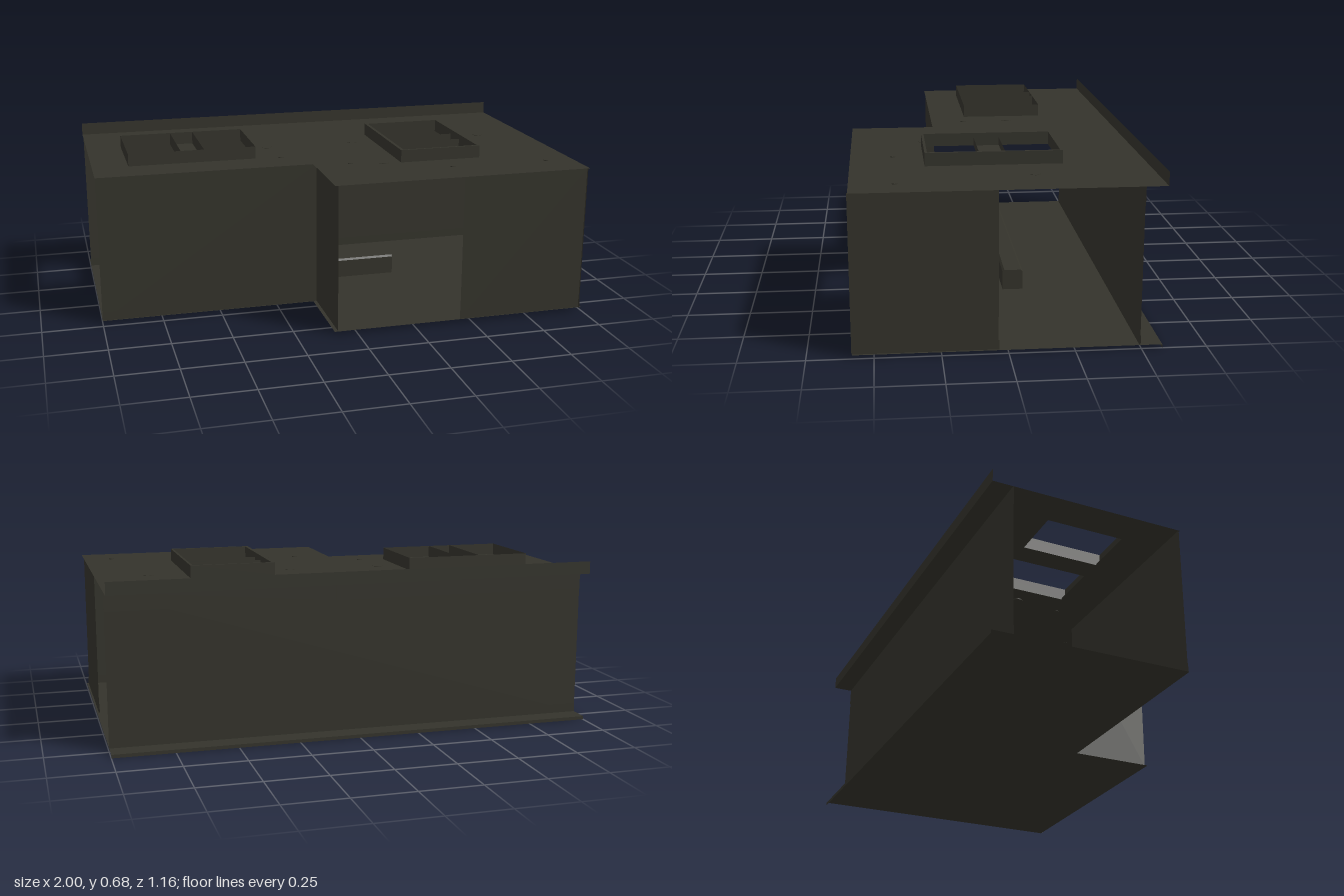
import * as THREE from 'three';

export function createModel() {
  const model = new THREE.Group();
  const steel = new THREE.MeshStandardMaterial({ color: 0x34332b, side: THREE.DoubleSide });
  steel.name = 'dark olive steel';
  const FLOOR = 0.014, ROOF = 0.63, TOP = 0.683, BACK = -0.58;

  const add = (name, geometry, x = 0, y = 0, z = 0) => {
    const mesh = new THREE.Mesh(geometry, steel);
    mesh.name = name;
    mesh.position.set(x, y, z);
    model.add(mesh);
  };
  // Upright sheet facing front or back
  const sheetX = (name, x0, x1, y0, y1, z) =>
    add(name, new THREE.PlaneGeometry(x1 - x0, y1 - y0), (x0 + x1) / 2, (y0 + y1) / 2, z);
  // Upright sheet facing sideways
  const sheetZ = (name, z0, z1, y0, y1, x) =>
    add(name, new THREE.PlaneGeometry(z1 - z0, y1 - y0).rotateY(Math.PI / 2), x, (y0 + y1) / 2, (z0 + z1) / 2);
  // Level sheet
  const sheetY = (name, x0, x1, z0, z1, y) =>
    add(name, new THREE.PlaneGeometry(x1 - x0, z1 - z0).rotateX(-Math.PI / 2), (x0 + x1) / 2, y, (z0 + z1) / 2);

  // L-shaped plate with rectangular holes [x0, x1, z0, z1]
  const plate = (name, y, holes) => {
    const outline = [[-1, 0.225], [-0.095, 0.225], [-0.095, 0.58], [1, 0.58], [1, BACK], [-1, BACK]];
    const shape = new THREE.Shape(outline.map(([x, z]) => new THREE.Vector2(x, -z)));
    for (const [x0, x1, z0, z1] of holes) {
      const corners = [[x0, z0], [x1, z0], [x1, z1], [x0, z1]];
      shape.holes.push(new THREE.Path(corners.map(([x, z]) => new THREE.Vector2(x, -z))));
    }
    add(name, new THREE.ShapeGeometry(shape).rotateX(-Math.PI / 2), 0, y, 0);
  };
  plate('floor', FLOOR, []);
  plate('roof', ROOF, [
    [-0.85, -0.63, -0.28, 0.05], [-0.53, -0.31, -0.28, 0.05],
    [0.285, 0.615, -0.24, -0.033], [0.285, 0.615, 0.072, 0.28],
  ]);

  // Folded lips along the back edge
  sheetX('roofBackLip', -1, 1, ROOF, TOP, BACK);
  sheetX('floorBackLip', -1, 1, 0, FLOOR, BACK);

  // Walls, with both ends left partly open
  sheetX('backWall', -1, 1, FLOOR, ROOF, -0.495);
  sheetX('leftFrontWall', -1, -0.08, FLOOR, ROOF, 0.219);
  sheetZ('notchWall', 0.219, 0.575, FLOOR, ROOF, -0.08);
  sheetX('frontWall', 0.45, 0.99, FLOOR, ROOF, 0.575);
  sheetZ('sideWall', 0.038, 0.583, FLOOR, ROOF, 0.99);

  // Rails along both faces of the walls
  for (const d of [-0.002, 0.002]) {
    sheetX('backBottomRail', -1, 1, FLOOR, 0.05, -0.495 + d);
    sheetX('backTopRailLeft', 0.081, 1, 0.555, ROOF, -0.495 + d);
    sheetX('backTopRailRight', -1, 0.077, 0.555, ROOF, -0.495 + d);
    sheetX('frontBottomRail', 0.45, 0.99, FLOOR, 0.05, 0.575 + d);
    sheetX('notchBottomRail', -1, -0.08, FLOOR, 0.05, 0.219 + d);
    sheetZ('sideBottomRail', 0.035, 0.583, FLOOR, 0.05, 0.99 + d);
  }

  // Raised hatch frames
  const frame = (name, x0, x1, z0, z1) => {
    for (const z of [z0, z1]) sheetX(name, x0, x1, ROOF, TOP, z);
    for (const x of [x0, x1]) sheetZ(name, z0, z1, ROOF, TOP, x);
  };
  frame('doubleHatchFrame', -0.85, -0.31, -0.28, 0.068);
  for (const x of [-0.63, -0.53]) sheetZ('hatchDivider', -0.28, 0.068, ROOF, TOP, x);
  for (const x of [-0.85, -0.53]) sheetY('hatchLedge', x, x + 0.22, 0.05, 0.068, ROOF + 0.004);
  frame('largeHatchFrame', 0.272, 0.625, -0.25, 0.29);
  frame('largeHatchInnerFrame', 0.285, 0.615, -0.24, 0.28);

  // Rim and cross bar of the large hatch
  for (const [z0, z1] of [[-0.25, -0.24], [0.28, 0.29]]) sheetY('largeHatchRim', 0.272, 0.625, z0, z1, TOP);
  for (const [x0, x1] of [[0.272, 0.285], [0.615, 0.625]]) sheetY('largeHatchRim', x0, x1, -0.24, 0.28, TOP);
  for (const z of [-0.033, 0.072]) sheetX('largeHatchBarSide', 0.285, 0.615, ROOF, TOP - 0.02, z);

  // Low floor duct with chamfered top
  const section = [[-0.043, 0], [0.043, 0], [0.043, 0.078], [0.035, 0.086], [-0.035, 0.086], [-0.043, 0.078]];
  const ductShape = new THREE.Shape(section.map(([x, y]) => new THREE.Vector2(x, y)));
  const duct = new THREE.ExtrudeGeometry(ductShape, { depth: 0.93, bevelEnabled: false });
  add('floorDuct', duct.rotateY(Math.PI / 2), -0.58, FLOOR, -0.088);

  // Round ceiling fittings and small roof studs
  for (const [x, z] of [[-0.22, -0.12], [0.175, -0.12], [0.78, -0.12], [0.2, 0.275]])
    add('ceilingFitting', new THREE.CylinderGeometry(0.022, 0.022, 0.006, 12), x, ROOF - 0.0015, z);
  for (const [x, z] of [[0.88, 0.41], [0.46, 0.41], [0.06, 0.255], [-0.2, 0.08]])
    add('roofStud', new THREE.CylinderGeometry(0.011, 0.011, 0.005, 12), x, ROOF + 0.001, z);

  // Pair of small nozzles inside
  for (const x of [0.07, 0.12])
    add('nozzle', new THREE.ConeGeometry(0.013, 0.026, 8).rotateX(-0.9), x, 0.533, -0.313);

  return model;
}
